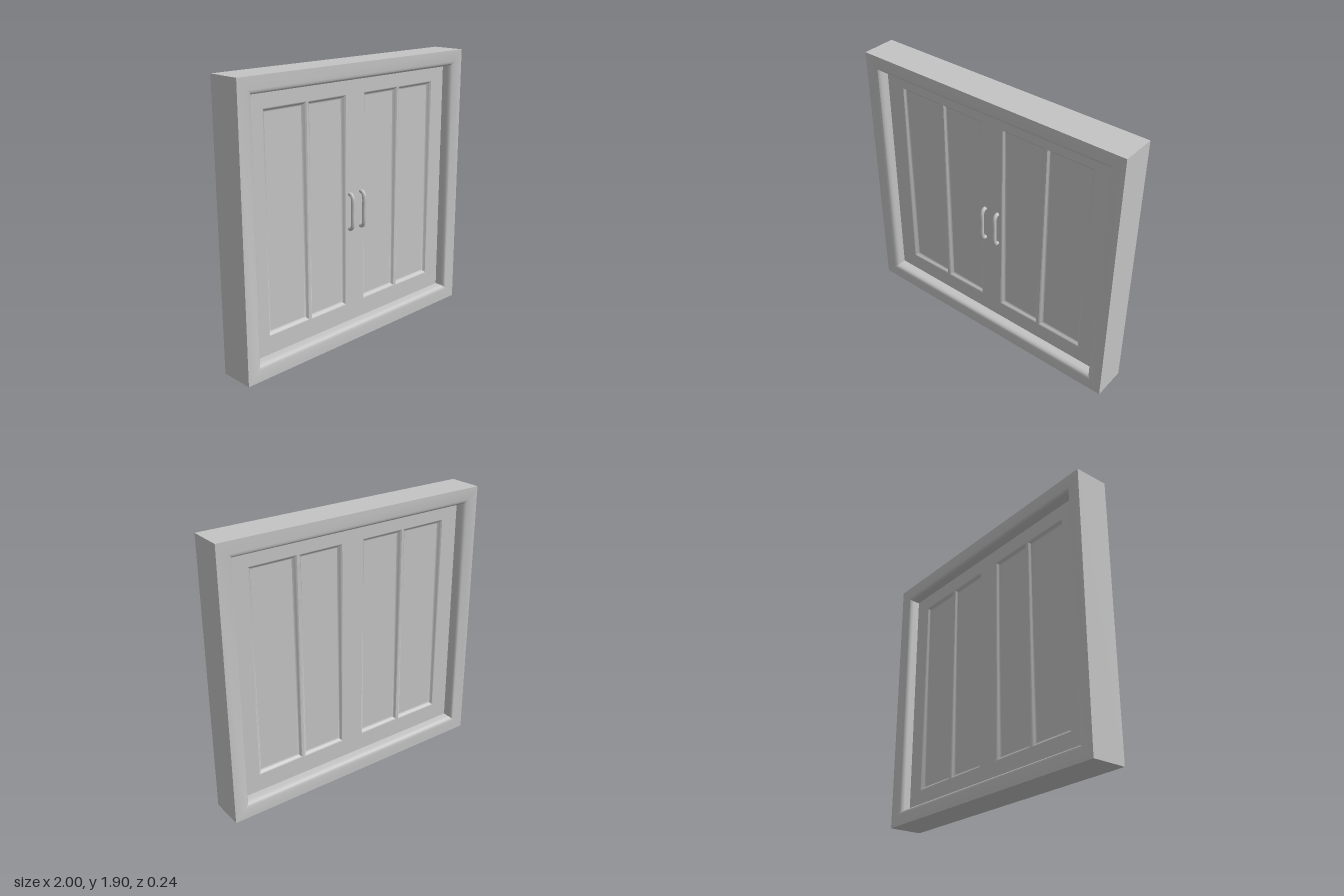
import * as THREE from 'three';
import { toCreasedNormals } from 'three/addons/utils/BufferGeometryUtils.js';

const H = 1.9, D = 0.12;       // frame height and half depth
const DOOR = 0.042;            // half thickness of stiles and rails
const PANEL = 0.02;            // half thickness of recessed panels
const Y0 = 0.235, Y1 = 1.69;   // bottom and top of the panel openings

// Adds the mirrored back half to a front profile of [inset, z] points
const bothSides = (front) => [...front, ...front.map(([i, z]) => [i, -z]).reverse()];

// Mitred rectangular ring swept from a closed profile
function ringGeometry(x0, y0, x1, y1, profile) {
  const pos = [], idx = [], n = profile.length;
  for (const [i, z] of profile) {
    pos.push(x0 + i, y0 + i, z, x1 - i, y0 + i, z, x1 - i, y1 - i, z, x0 + i, y1 - i, z);
  }
  for (let p = 0; p < n; p++) {
    for (let c = 0; c < 4; c++) {
      const a = p * 4 + c, b = p * 4 + (c + 1) % 4;
      const q = ((p + 1) % n) * 4, d = q + c, e = q + (c + 1) % 4;
      idx.push(a, b, e, a, e, d);
    }
  }
  const g = new THREE.BufferGeometry();
  g.setAttribute('position', new THREE.Float32BufferAttribute(pos, 3));
  g.setIndex(idx);
  return toCreasedNormals(g, 0.7);
}

export function createModel() {
  const group = new THREE.Group();
  const grey = new THREE.MeshStandardMaterial({ color: 0xc4c4c4 });
  grey.name = 'plain grey';
  const add = (name, geometry) => {
    const mesh = new THREE.Mesh(geometry, grey);
    mesh.name = name;
    group.add(mesh);
  };
  const addBox = (name, x0, y0, x1, y1, halfDepth) => {
    const box = new THREE.BoxGeometry(x1 - x0, y1 - y0, halfDepth * 2);
    add(name, box.translate((x0 + x1) / 2, (y0 + y1) / 2, 0));
  };

  // Outer frame: square outside, rounded lip inside, alike front and back
  const frameProfile = bothSides([
    [0, D], [0.078, D], [0.094, D - 0.005], [0.105, D - 0.016], [0.11, D - 0.035],
  ]);
  // the profile starts on the outer face, which closes the loop
  add('frame', ringGeometry(-1, 0, 1, H, frameProfile));

  // Rails across the doors
  addBox('bottomRail', -0.94, 0.06, 0.94, Y0, DOOR);
  addBox('topRail', -0.94, Y1, 0.94, 1.84, DOOR);

  // Upright stiles and narrow mullions between the panels
  addBox('centreStiles', -0.082, Y0, 0.082, Y1, DOOR);
  for (const s of [-1, 1]) {
    const upright = (name, a, b) => addBox(name, Math.min(s * a, s * b), Y0, Math.max(s * a, s * b), Y1, DOOR);
    upright('outerStile', 0.762, 0.94);
    upright('mullion', 0.406, 0.42);
  }

  // Softly sloping mouldings round each opening, and the recessed panels
  const fall = DOOR - PANEL;
  const moulding = bothSides([
    [0, DOOR], [0.006, DOOR - fall * 0.12], [0.012, DOOR - fall * 0.45],
    [0.018, PANEL + fall * 0.18], [0.026, PANEL],
  ]);
  for (const [x0, x1] of [[-0.762, -0.42], [-0.406, -0.082], [0.082, 0.406], [0.42, 0.762]]) {
    add('panelMoulding', ringGeometry(x0, Y0, x1, Y1, moulding));
    addBox('recessedPanel', x0 + 0.026, Y0 + 0.026, x1 - 0.026, Y1 - 0.026, PANEL);
  }

  // Pair of bow handles on the front
  for (const side of [-1, 1]) {
    const path = new THREE.CatmullRomCurve3([
      [0.785, 0.03], [0.785, 0.058], [0.805, 0.074], [0.905, 0.077],
      [1.005, 0.074], [1.025, 0.058], [1.025, 0.03],
    ].map(([y, z]) => new THREE.Vector3(side * 0.053, y, z)));
    add(side < 0 ? 'rightHandle' : 'leftHandle', new THREE.TubeGeometry(path, 40, 0.014, 10));
  }
  return group;
}
